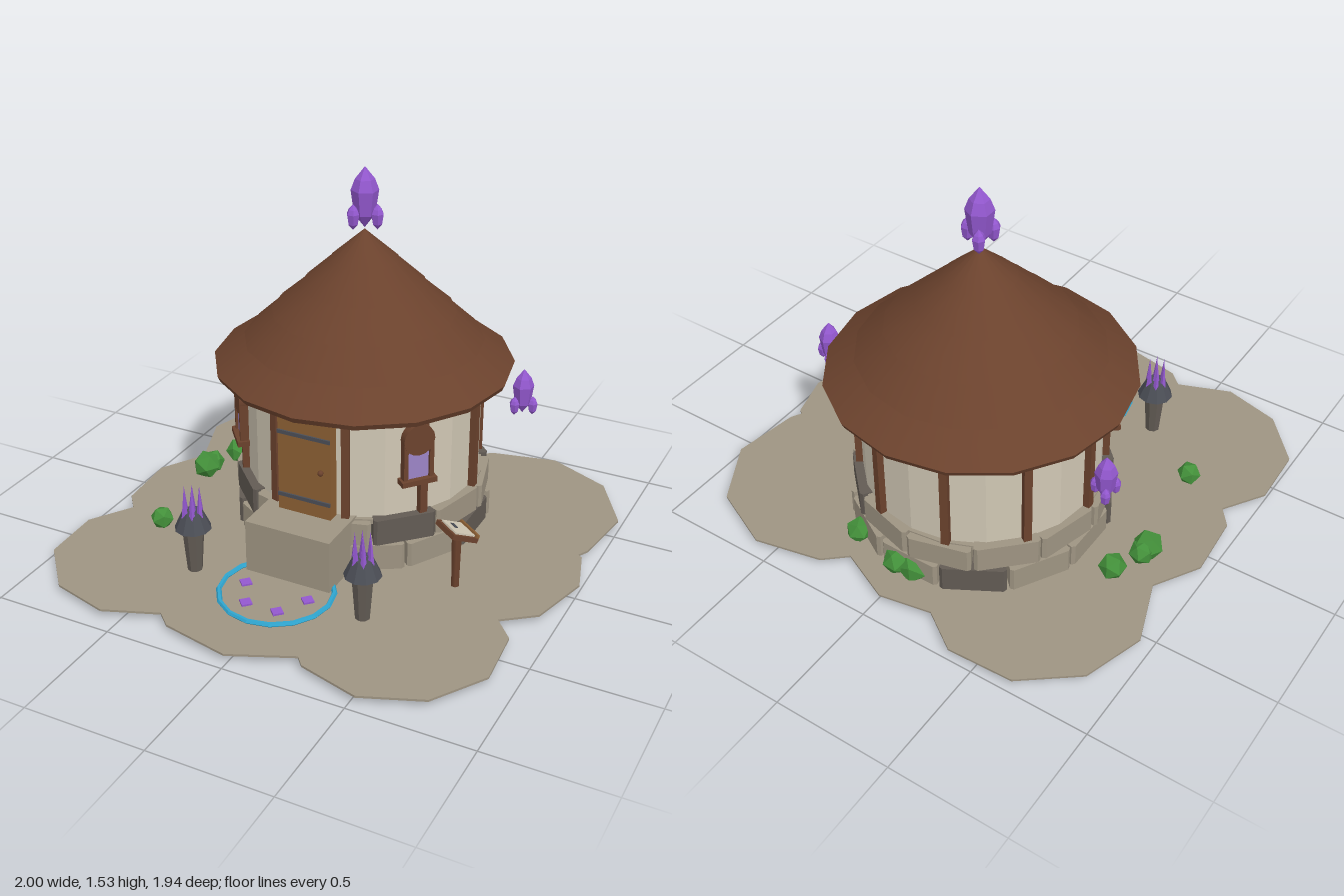
import * as THREE from 'three';

const mat = (name, color, flat = true) => {
  const m = new THREE.MeshStandardMaterial({ color, flatShading: flat });
  m.name = name;
  return m;
};
const M = {
  sandstone: mat('sandstone', 0x9e9482),
  darkStone: mat('dark stone', 0x625b54),
  plaster: mat('plaster', 0xd0c7b4),
  wood: mat('brown wood', 0x6b422d, false),
  door: mat('door wood', 0x8c5f33),
  crystal: mat('purple crystal', 0x9358cf),
  glass: mat('lilac glass', 0x9c84c6),
  slate: mat('slate', 0x4b4e56),
  blue: mat('blue glow', 0x2fa5cf),
  leaf: mat('leaf green', 0x43903a),
};

function add(parent, name, geo, material, x = 0, y = 0, z = 0) {
  const mesh = new THREE.Mesh(geo, material);
  mesh.name = name;
  mesh.position.set(x, y, z);
  parent.add(mesh);
  return mesh;
}
function group(parent, name, x = 0, y = 0, z = 0) {
  const g = new THREE.Group();
  g.name = name;
  g.position.set(x, y, z);
  parent.add(g);
  return g;
}
const box = (w, h, d) => new THREE.BoxGeometry(w, h, d);
const cyl = (rt, rb, h, n) => new THREE.CylinderGeometry(rt, rb, h, n);
const extrude = (shape, depth) => new THREE.ExtrudeGeometry(shape, { depth, bevelEnabled: false, curveSegments: 10 });

// Place an object on a circle with its local +z facing outward
function radial(obj, angle, r) {
  obj.position.x = Math.cos(angle) * r;
  obj.position.z = Math.sin(angle) * r;
  obj.rotation.y = Math.PI / 2 - angle;
}

// Pointed gem standing on its tip
function gem(r, h) {
  const p = [[0, 0], [r * 0.75, h * 0.22], [r, h * 0.62], [r * 0.7, h * 0.8], [0, h]];
  return new THREE.LatheGeometry(p.map(([a, b]) => new THREE.Vector2(a, b)), 6);
}
function crystalCluster(parent, name, x, y, z, s) {
  const g = group(parent, name, x, y, z);
  g.scale.setScalar(s);
  add(g, 'largeCrystal', gem(0.056, 0.25), M.crystal, 0, 0.005, 0);
  for (let i = 0; i < 3; i++) {
    const c = add(g, 'smallCrystal', gem(0.027, 0.105), M.crystal, 0, 0.005, 0);
    radial(c, i * Math.PI * 2 / 3, 0.055);
  }
}

// Scalloped ground slab
function buildGround(root) {
  const outline = [
    [-.66, -.97], [-.385, -.98], [-.225, -.87], [-.01, -.91], [.21, -.81], [.3, -.89], [.58, -.95], [.845, -.83],
    [.99, -.58], [.95, -.3], [.925, -.255], [.945, -.24], [1, -.05], [.93, .21], [.8, .31], [.88, .4], [.9, .65],
    [.76, .865], [.52, .96], [.27, .89], [.235, .85], [-.015, .96], [-.3, .9], [-.36, .845], [-.58, .93],
    [-.82, .865], [-.99, .67], [-1, .415], [-.89, .245], [-.95, .17], [-.97, -.095], [-.86, -.28], [-.955, -.545],
    [-.875, -.8]];
  const shape = new THREE.Shape(outline.map(([x, z]) => new THREE.Vector2(x, z)));
  const geo = extrude(shape, 0.009);
  geo.rotateX(Math.PI / 2);
  add(root, 'ground', geo, M.sandstone, 0, 0.044, 0);
}

function buildFoundation(house) {
  add(house, 'foundationCore', cyl(0.445, 0.445, 0.23, 24), M.darkStone, 0, 0.147, 0);
  add(house, 'foundationTop', cyl(0.5, 0.5, 0.02, 24), M.sandstone, 0, 0.25, 0);
  const dark = [[0, 5, 8], [1, 4, 10]];
  const step = Math.PI / 6;
  for (let row = 0; row < 2; row++) {
    for (let i = 0; i < 12; i++) {
      const h = 0.104 + 0.006 * ((i * 7 + row) % 3 - 1);
      // Block with a chamfered outer face
      const s = new THREE.Shape();
      const w = 0.13, c = 0.012;
      s.moveTo(-w + 0.02, -0.09);
      s.lineTo(w - 0.02, -0.09);
      s.lineTo(w, -c);
      s.lineTo(w - c, 0);
      s.lineTo(-w + c, 0);
      s.lineTo(-w, -c);
      const geo = extrude(s, h).rotateX(Math.PI / 2);
      const stone = add(house, 'foundationStone', geo, dark[row].includes(i) ? M.darkStone : M.sandstone,
        0, 0.044 + row * 0.112 + h, 0);
      radial(stone, (i + row * 0.5) * step, 0.517 - row * 0.006 + 0.004 * (i % 3));
    }
  }
}

function buildWalls(house) {
  add(house, 'wall', cyl(0.485, 0.485, 0.47, 20), M.plaster, 0, 0.49, 0);
  for (let i = 0; i < 10; i++) {
    radial(add(house, 'wallPost', box(0.032, 0.46, 0.035), M.wood, 0, 0.49, 0), i * Math.PI / 5, 0.493);
  }
  // Round-topped windows on both sides of the door
  for (const side of [1, -1]) {
    const w = group(house, 'window');
    radial(w, Math.PI / 2 - side * 0.873, 0.515);
    add(w, 'windowHead', cyl(0.066, 0.066, 0.034, 16).rotateX(Math.PI / 2), M.wood, 0, 0.608, 0);
    add(w, 'windowBack', box(0.125, 0.17, 0.015), M.wood, 0, 0.52, -0.01);
    add(w, 'windowGlass', box(0.09, 0.13, 0.008), M.glass, 0, 0.5, 0.002);
    for (const s of [1, -1]) add(w, 'windowJamb', box(0.018, 0.18, 0.032), M.wood, s * 0.055, 0.52, 0);
    add(w, 'windowSill', box(0.15, 0.022, 0.05), M.wood, 0, 0.428, 0.004);
  }
}

function buildDoor(house) {
  const s = new THREE.Shape();
  s.moveTo(-0.115, 0.262);
  s.lineTo(0.115, 0.262);
  s.lineTo(0.115, 0.675);
  s.absarc(0, 0.675, 0.115, 0, Math.PI, false);
  s.closePath();
  add(house, 'door', extrude(s, 0.05), M.door, 0, 0, 0.475);
  for (const y of [0.337, 0.615]) add(house, 'hingeStrap', box(0.23, 0.016, 0.008), M.slate, 0, y, 0.528);
  add(house, 'doorKnob', new THREE.SphereGeometry(0.012, 8, 6), M.wood, 0.077, 0.475, 0.535);
  add(house, 'doorstep', box(0.37, 0.227, 0.25), M.sandstone, 0.002, 0.154, 0.553);
}

// Overlapping conical tiers
function buildRoof(house) {
  const tiers = [[0.615, 0.735, 0.465, 0.845], [0.49, 0.83, 0.35, 0.96], [0.375, 0.945, 0.232, 1.07],
    [0.257, 1.055, 0.12, 1.18], [0.142, 1.163, 0, 1.29]];
  for (const [rb, y0, rt, y1] of tiers) {
    add(house, 'roofTier', cyl(rt, rb, y1 - y0, 16), M.wood, 0, (y0 + y1) / 2, 0);
  }
  add(house, 'eave', cyl(0.615, 0.605, 0.023, 16), M.wood, 0, 0.7235, 0);
}

function buildLamp(root, x, z) {
  const g = group(root, 'crystalLamp', x, 0, z);
  add(g, 'lampPost', cyl(0.045, 0.03, 0.195, 8), M.darkStone, 0, 0.14, 0);
  add(g, 'lampBowl', cyl(0.04, 0.074, 0.075, 10), M.slate, 0, 0.272, 0);
  add(g, 'lampSpike', new THREE.ConeGeometry(0.016, 0.11, 5), M.crystal, 0, 0.355, 0);
  for (let i = 0; i < 6; i++) {
    radial(add(g, 'lampSpike', new THREE.ConeGeometry(0.014, 0.12, 5), M.crystal, 0, 0.35, 0), i * Math.PI / 3, 0.034);
  }
}

// Glowing ring with small diamonds inside
function buildCircle(root) {
  const g = group(root, 'groundCircle', -0.035, 0, 0.525);
  add(g, 'ring', new THREE.TorusGeometry(0.226, 0.011, 6, 16).rotateX(Math.PI / 2), M.blue, 0, 0.048, 0);
  for (const a of [0, 1, 2, 3]) {
    const d = add(g, 'diamond', box(0.042, 0.008, 0.042).rotateY(Math.PI / 4), M.crystal, 0, 0.048, 0);
    d.position.x = Math.cos(a * Math.PI / 3) * 0.137;
    d.position.z = Math.sin(a * Math.PI / 3) * 0.137;
  }
}

function buildLectern(root) {
  const g = group(root, 'lectern', 0.565, 0, 0.17);
  g.rotation.y = 2.5;
  add(g, 'lecternPole', cyl(0.022, 0.017, 0.24, 6), M.wood, 0, 0.16, 0);
  const top = group(g, 'lecternTop', 0, 0.29, 0);
  top.rotation.x = 0.4;
  add(top, 'lecternBoard', box(0.13, 0.02, 0.12), M.wood);
  add(top, 'page', box(0.105, 0.008, 0.092), M.plaster, 0, 0.013, 0);
  add(top, 'pageMark', box(0.035, 0.004, 0.014), M.slate, 0.01, 0.018, -0.015);
  add(top, 'bookRest', box(0.13, 0.016, 0.012), M.door, 0, 0.016, 0.054);
}

function buildBushes(root) {
  const bushes = [[-.7, .09, -.32, .057], [-.755, .085, -.19, .052], [-.76, .09, -.145, .063], [-.695, .085, .315, .05],
    [.25, .075, -.7, .055], [-.05, .07, -.73, .07], [.02, .08, -.755, .058]];
  bushes.forEach(([x, y, z, r], i) => {
    add(root, 'bush', new THREE.IcosahedronGeometry(r, 0), M.leaf, x, y, z).rotation.y = i * 1.3;
  });
}

export function createModel() {
  const root = new THREE.Group();
  root.name = 'roundCottage';
  buildGround(root);
  const house = group(root, 'house', -0.035, 0, -0.237);
  buildFoundation(house);
  buildWalls(house);
  buildDoor(house);
  buildRoof(house);
  crystalCluster(house, 'roofCrystal', 0, 1.29, 0, 1);
  crystalCluster(root, 'leftFloatingCrystal', 0.61, 0.56, -0.375, 0.77);
  crystalCluster(root, 'rightFloatingCrystal', -0.68, 0.488, -0.375, 0.79);
  for (const x of [-0.405, 0.337]) buildLamp(root, x, 0.525);
  buildCircle(root);
  buildLectern(root);
  buildBushes(root);
  return root;
}
